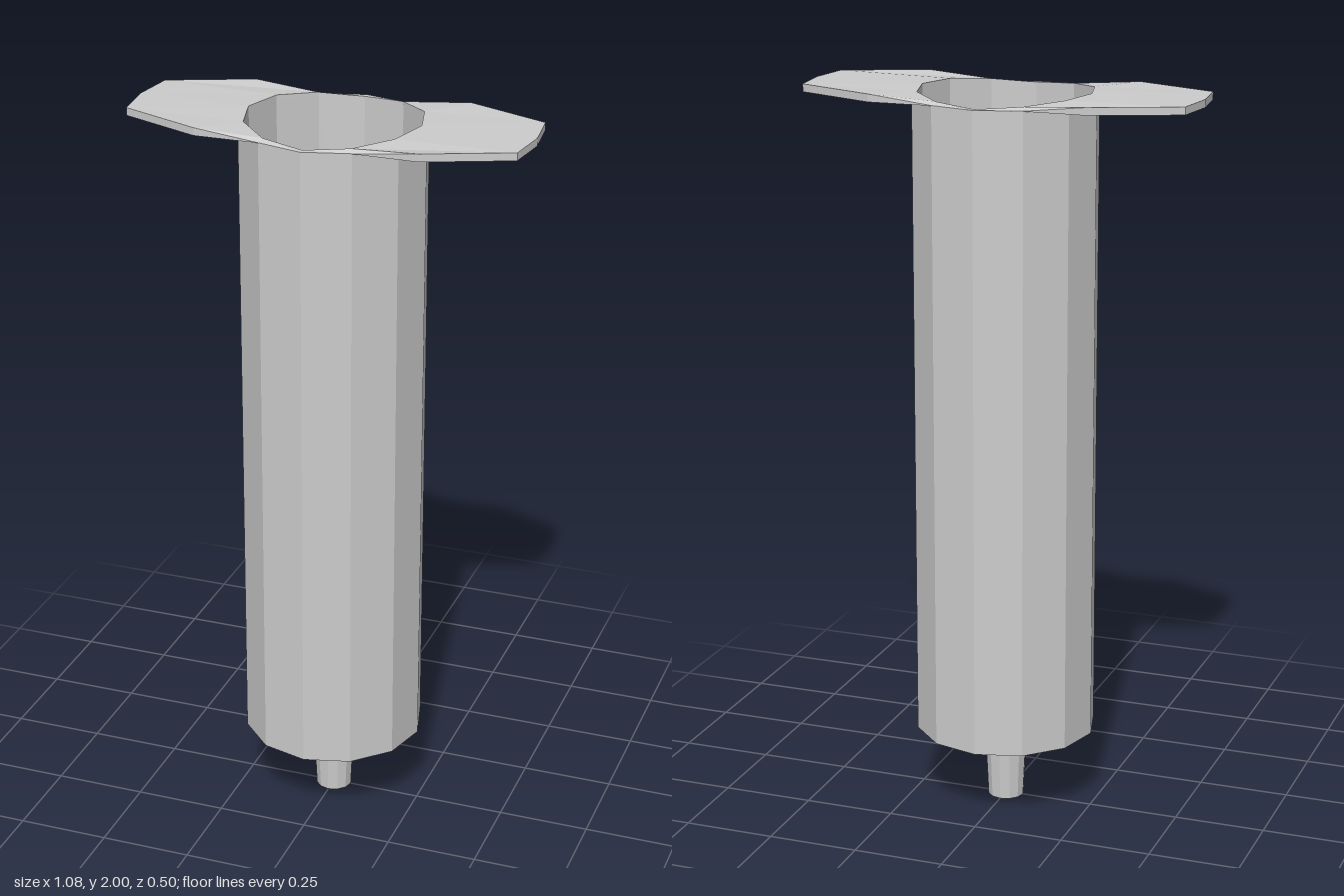
import * as THREE from 'three';

const RIM = 1.98; // height of the barrel rim and flange underside

// Finger flange: columns around the bore, mirrored from one quadrant
function flangeGeometry() {
  const outline = [[0, 0.25, RIM], [0.125, 0.217, RIM], [0.3, 0.218, 2], [0.525, 0.126, 2], [0.54, 0, 2]];
  const bore = [[0, 0.233, RIM], [0.118, 0.202, 1.988], [0.118, 0.202, 1.988], [0.204, 0.118, 1.996], [0.236, 0, 1.998]];
  const barrel = [[0, 0.25], [0.125, 0.217], [0.125, 0.217], [0.217, 0.125], [0.25, 0]];

  const column = (k) => {
    const m = k % 8;
    const i = m <= 4 ? m : 8 - m;
    const sx = k % 16 <= 8 ? 1 : -1;
    const sz = k % 16 <= 4 || k % 16 >= 12 ? 1 : -1;
    const at = ([x, z], y) => new THREE.Vector3(sx * x, y, sz * z);
    return [
      at(bore[i], RIM), at(bore[i], bore[i][2]),
      at(outline[i], outline[i][2]), at(outline[i], RIM - 0.001), at(barrel[i], RIM - 0.001),
    ];
  };

  const points = [];
  const triangle = (a, b, c) => {
    if (new THREE.Triangle(a, b, c).getArea() > 1e-7) points.push(a, b, c);
  };
  for (let k = 0; k < 16; k++) {
    const a = column(k), b = column(k + 1);
    for (let j = 0; j < 4; j++) {
      triangle(a[j], a[j + 1], b[j + 1]);
      triangle(a[j], b[j + 1], b[j]);
    }
  }
  const geometry = new THREE.BufferGeometry().setFromPoints(points);
  geometry.computeVertexNormals();
  return geometry;
}

export function createModel() {
  const group = new THREE.Group();
  group.name = 'syringeBarrel';
  const material = new THREE.MeshStandardMaterial({ color: 0xcccccc, flatShading: true, side: THREE.DoubleSide });
  const add = (name, geometry) => {
    const mesh = new THREE.Mesh(geometry, material);
    mesh.name = name;
    group.add(mesh);
  };
  const lathe = (profile) => new THREE.LatheGeometry(profile.map(([r, y]) => new THREE.Vector2(r, y)), 12);

  // Hollow barrel: underside, outer wall, inner wall and floor around the bore
  add('barrel', lathe([[0.06, 0.215], [0.25, 0.215], [0.25, RIM], [0.236, RIM], [0.234, 0.23], [0.045, 0.23]]));

  // Tapered hollow nozzle
  add('nozzle', lathe([[0.045, 0.23], [0.028, 0], [0.05, 0], [0.06, 0.215]]));

  add('fingerFlange', flangeGeometry());
  return group;
}
